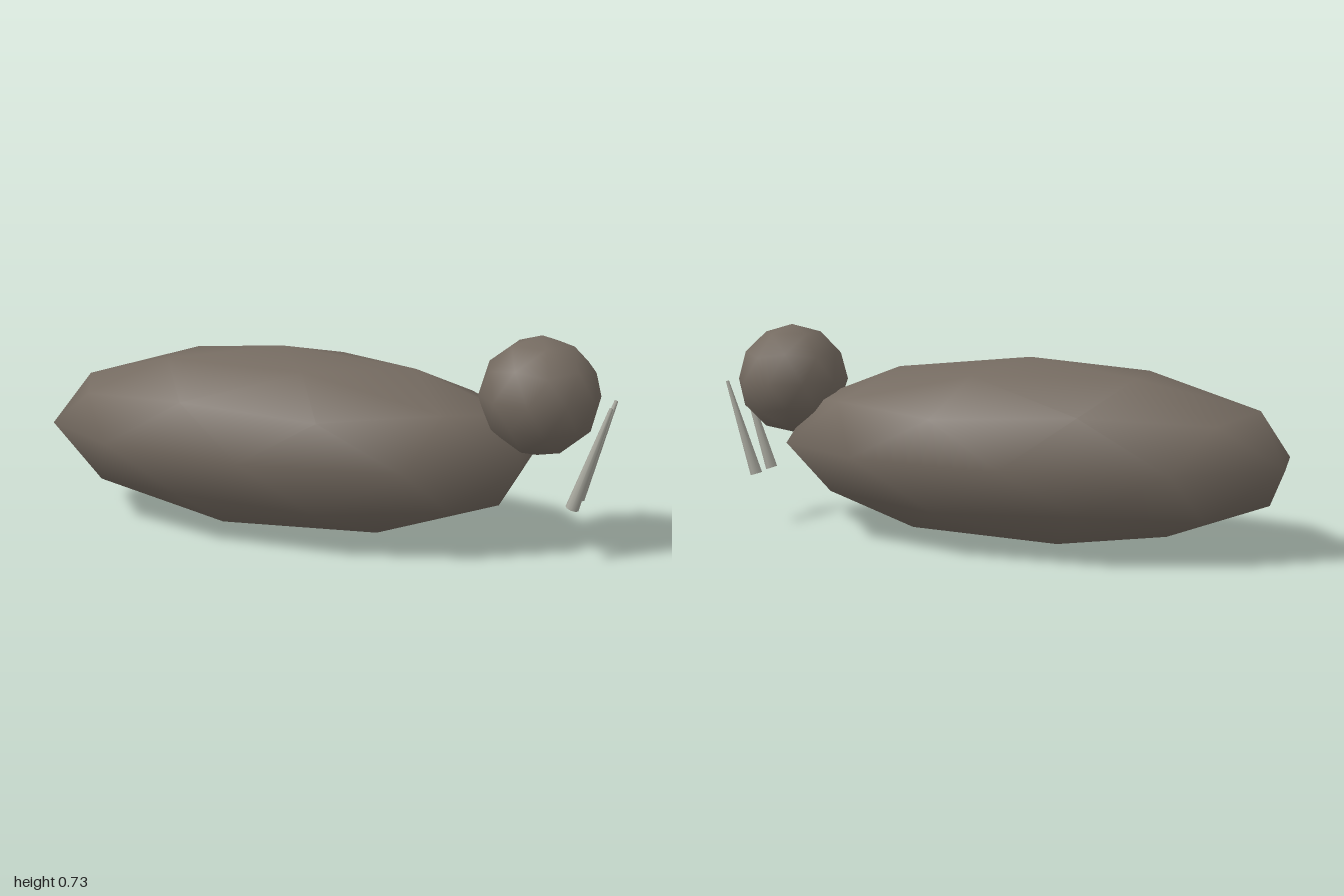
import * as THREE from 'three';
import { mergeVertices } from 'three/addons/utils/BufferGeometryUtils.js';

// Icosphere with one corner pointing straight up and the next towards +x
function icosphere(rx, ry, rz) {
  const geo = new THREE.IcosahedronGeometry(1, 1);
  geo.rotateX(-Math.atan((1 + Math.sqrt(5)) / 2));
  geo.rotateY(Math.PI / 2);
  geo.scale(rx, ry, rz);
  return geo;
}

// Tapered cylinder whose shading runs smoothly over its end caps
function smoothCone(rTop, rBottom, height) {
  const geo = new THREE.CylinderGeometry(rTop, rBottom, height, 8);
  geo.deleteAttribute('normal');
  geo.deleteAttribute('uv');
  const merged = mergeVertices(geo, 1e-4);
  merged.computeVertexNormals();
  return merged;
}

export function createModel() {
  const hide = new THREE.MeshStandardMaterial({ color: 0x756b61 });
  hide.name = 'brown hide';
  const ivory = new THREE.MeshStandardMaterial({ color: 0xacaca2 });
  ivory.name = 'grey ivory';

  const model = new THREE.Group();
  model.name = 'walrus';
  const add = (name, geo, mat, x, y, z) => {
    const mesh = new THREE.Mesh(geo, mat);
    mesh.name = name;
    mesh.position.set(x, y, z);
    model.add(mesh);
    return mesh;
  };

  // Long body lying along x, with the head at its +x end
  add('body', icosphere(0.912, 0.322, 0.402), hide, -0.138, 0.325, 0);
  add('head', icosphere(0.198, 0.198, 0.198), hide, 0.757, 0.54, 0);

  // Pair of tusks, thick end down, leaning forward at the top
  const tusk = smoothCone(0.006, 0.022, 0.355);
  for (const side of [1, -1]) {
    const mesh = add(side > 0 ? 'rightTusk' : 'leftTusk', tusk, ivory, 0.941, 0.36, side * 0.06);
    mesh.rotation.z = -0.3;
  }
  return model;
}
